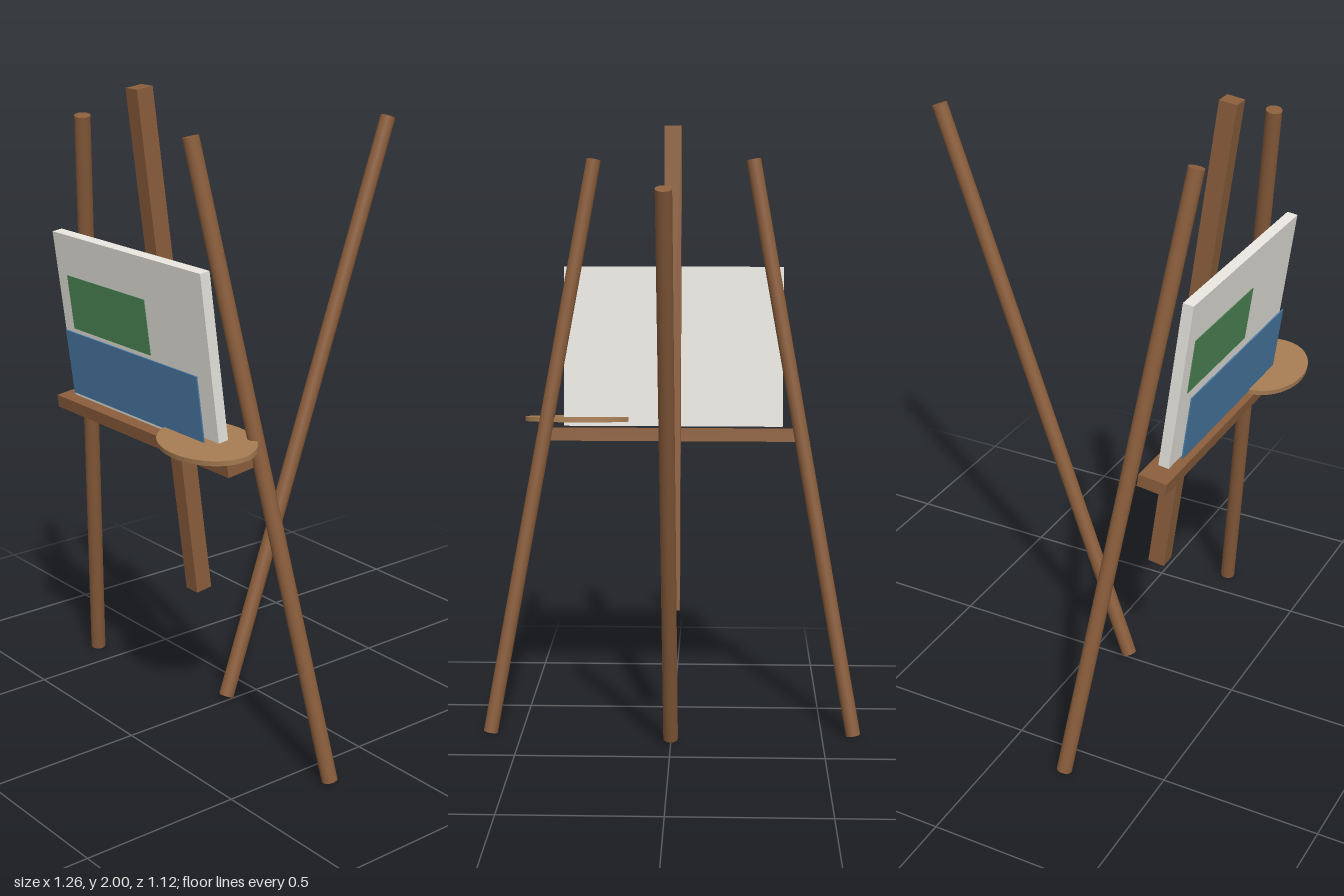
import * as THREE from 'three';

const TILT = 0.122; // forward lean shared by mast, tray and canvas
const mat = (color) => new THREE.MeshStandardMaterial({ color });

export function createModel() {
  const group = new THREE.Group();
  const wood = mat(0x8b5e3c);

  function add(name, geometry, material, x, y, z, tilt = 0) {
    const mesh = new THREE.Mesh(geometry, material);
    mesh.name = name;
    mesh.position.set(x, y, z);
    mesh.rotation.x = tilt;
    group.add(mesh);
    return mesh;
  }

  // Round pole between two points
  function pole(name, bottom, top) {
    const a = new THREE.Vector3(...bottom);
    const b = new THREE.Vector3(...top);
    const dir = b.clone().sub(a);
    const mid = a.clone().add(b).multiplyScalar(0.5);
    const geometry = new THREE.CylinderGeometry(0.024, 0.024, dir.length(), 24);
    const mesh = add(name, geometry, wood, mid.x, mid.y, mid.z);
    mesh.quaternion.setFromUnitVectors(new THREE.Vector3(0, 1, 0), dir.normalize());
  }

  // Legs
  for (const [name, s] of [['leftLeg', 1], ['rightLeg', -1]]) {
    pole(name, [s * 0.604, 0.006, 0.212], [s * 0.262, 1.89, 0.442]);
  }
  pole('backLeg', [0, 0.021, 0.124], [0, 1.829, -0.537]);

  // Central mast
  add('mast', new THREE.BoxGeometry(0.055, 1.58, 0.055), wood, 0, 1.212, 0.327, TILT);

  // Tray holding the canvas
  add('tray', new THREE.BoxGeometry(0.86, 0.04, 0.09), wood, 0, 0.983, 0.407, TILT);

  // Canvas with two painted patches
  add('canvas', new THREE.BoxGeometry(0.73, 0.53, 0.033), mat(0xe8e6df), 0, 1.274, 0.444, TILT);
  add('bluePatch', new THREE.BoxGeometry(0.655, 0.205, 0.004), mat(0x4a7ba6), -0.002, 1.132, 0.465, TILT);
  add('greenPatch', new THREE.BoxGeometry(0.395, 0.17, 0.004), mat(0x4f8a57), -0.117, 1.322, 0.4665, TILT);

  // Oval palette resting on the tray
  const disc = new THREE.CylinderGeometry(1, 1, 0.015, 48);
  disc.scale(0.18, 1, 0.118);
  add('palette', disc, mat(0xa67c52), 0.317, 1.03, 0.438, TILT);

  return group;
}
